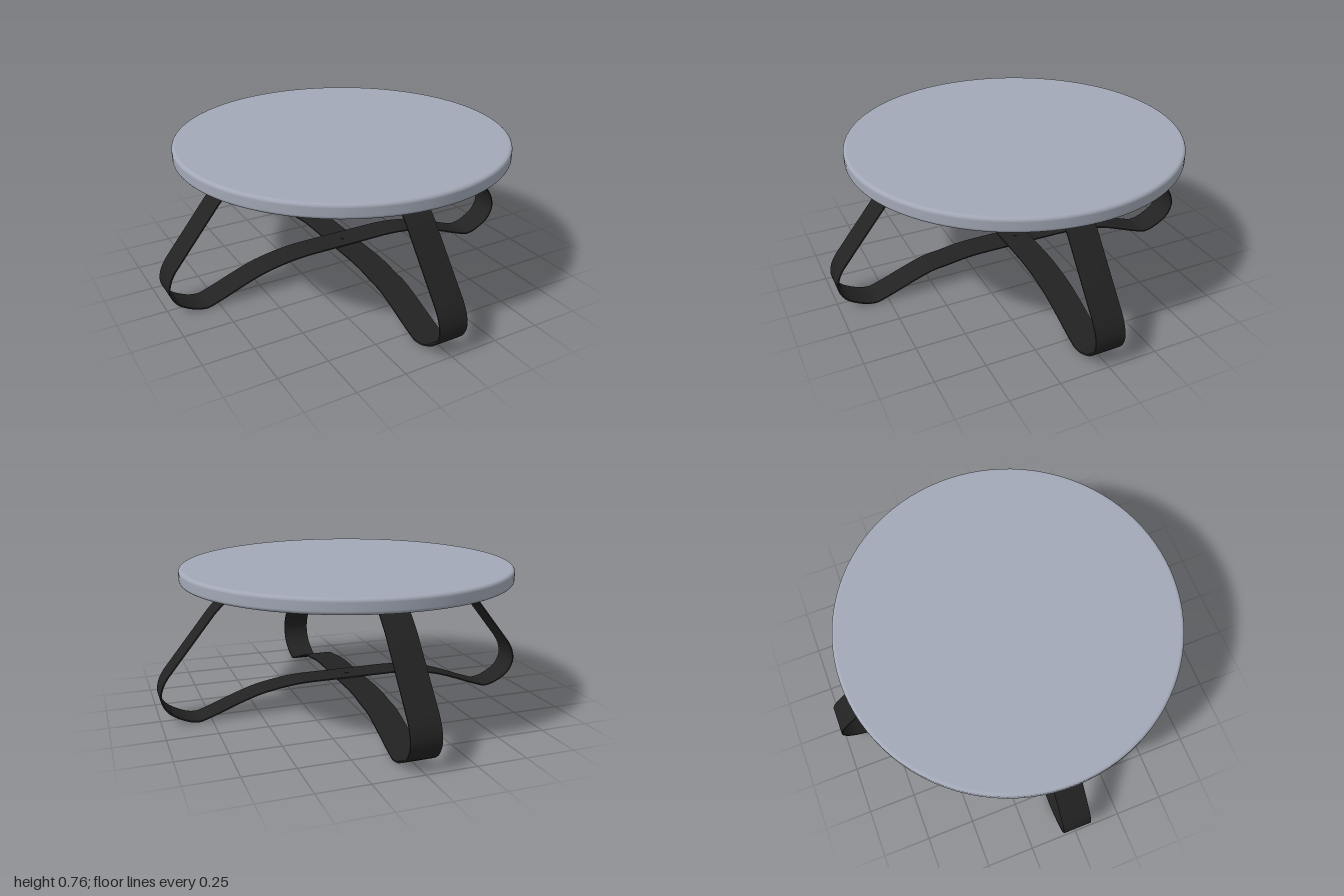
import * as THREE from 'three';
import { toCreasedNormals } from 'three/addons/utils/BufferGeometryUtils.js';

const BAND_WIDTH = 0.152;
const BAND_HALF = 0.0035; // half the thickness of the bent steel

const topMat = new THREE.MeshStandardMaterial({ color: 0xa2a8b6 });
topMat.name = 'grey top';
const steelMat = new THREE.MeshStandardMaterial({ color: 0x222222 });
steelMat.name = 'black steel';

const v = (x, y) => new THREE.Vector2(x, y);

// Centre line of one side of a band, from the middle out, round the foot and up to the tab
function halfPath(midY) {
  const arch = new THREE.SplineCurve([
    v(0.23, midY), v(0.32, midY - 0.005), v(0.42, midY - 0.019), v(0.51, 0.109),
    v(0.615, 0.074), v(0.72, 0.034), v(0.795, 0.008),
  ]);
  const foot = new THREE.SplineCurve([
    v(0.795, 0.008), v(0.82, 0.0045), v(0.875, 0.016), v(0.95, 0.057),
    v(0.985, 0.102), v(0.9965, 0.15), v(0.984, 0.205), v(0.957, 0.252),
  ]);
  const shoulder = new THREE.SplineCurve([
    v(0.72, 0.548), v(0.69, 0.58), v(0.635, 0.632), v(0.58, 0.679),
  ]);
  return [
    ...arch.getPoints(24), ...foot.getPoints(28).slice(1),
    ...shoulder.getPoints(10), v(0.29, 0.679),
  ];
}

// Flat steel strip that follows the mirrored centre line
function bandGeometry(midY) {
  const half = halfPath(midY);
  const path = [...half.map((p) => v(-p.x, p.y)).reverse(), ...half];
  const offset = (d) => path.map((p, i) => {
    const a = path[Math.max(i - 1, 0)];
    const b = path[Math.min(i + 1, path.length - 1)];
    const t = b.clone().sub(a).normalize();
    return v(p.x - t.y * d, p.y + t.x * d);
  });
  const outline = [...offset(BAND_HALF), ...offset(-BAND_HALF).reverse()];
  const geo = new THREE.ExtrudeGeometry(new THREE.Shape(outline), {
    depth: BAND_WIDTH, bevelEnabled: false,
  });
  geo.translate(0, 0, -BAND_WIDTH / 2);
  return toCreasedNormals(geo, 0.5);
}

// Domed screw head; dir is 1 for facing up, -1 for facing down
function screw(name, x, y, dir) {
  const geo = new THREE.SphereGeometry(0.012, 16, 6, 0, Math.PI * 2, 0, Math.PI / 2);
  const mesh = new THREE.Mesh(geo, steelMat);
  mesh.name = name;
  mesh.position.set(x, y, 0);
  if (dir < 0) mesh.rotation.x = Math.PI;
  return mesh;
}

// Band with its four tab screws, making two opposite legs
function legBand(name, midY) {
  const group = new THREE.Group();
  group.name = name;
  const band = new THREE.Mesh(bandGeometry(midY), steelMat);
  band.name = 'bentBand';
  group.add(band);
  for (const x of [-0.46, -0.38, 0.38, 0.46]) group.add(screw('tabScrew', x, 0.6755, -1));
  return group;
}

// Round top with softened edges
function tableTop() {
  const R = 0.862, bottom = 0.683, top = 0.757, r = 0.018;
  const profile = [v(0, bottom), v(R - r - 0.004, bottom)];
  const corner = (cy, from) => {
    for (let i = 0; i <= 8; i++) {
      const a = from + (i / 8) * Math.PI / 2;
      profile.push(v(R - r + r * Math.cos(a), cy + r * Math.sin(a)));
    }
  };
  corner(bottom + r, -Math.PI / 2);
  corner(top - r, 0);
  profile.push(v(R - r - 0.004, top), v(0, top));
  const mesh = new THREE.Mesh(new THREE.LatheGeometry(profile, 96), topMat);
  mesh.name = 'tableTop';
  return mesh;
}

export function createModel() {
  const model = new THREE.Group();
  model.name = 'coffeeTable';
  model.add(tableTop());

  // Two crossed bands, one lying over the other at the middle
  model.add(legBand('sideLegs', 0.147));
  const frontBack = legBand('frontAndBackLegs', 0.14);
  frontBack.rotation.y = Math.PI / 2;
  model.add(frontBack);

  // Small flat bolt where the bands cross
  const bolt = new THREE.Mesh(new THREE.CylinderGeometry(0.012, 0.012, 0.018, 16), steelMat);
  bolt.name = 'crossingBolt';
  bolt.position.y = 0.1435;
  model.add(bolt);
  return model;
}
